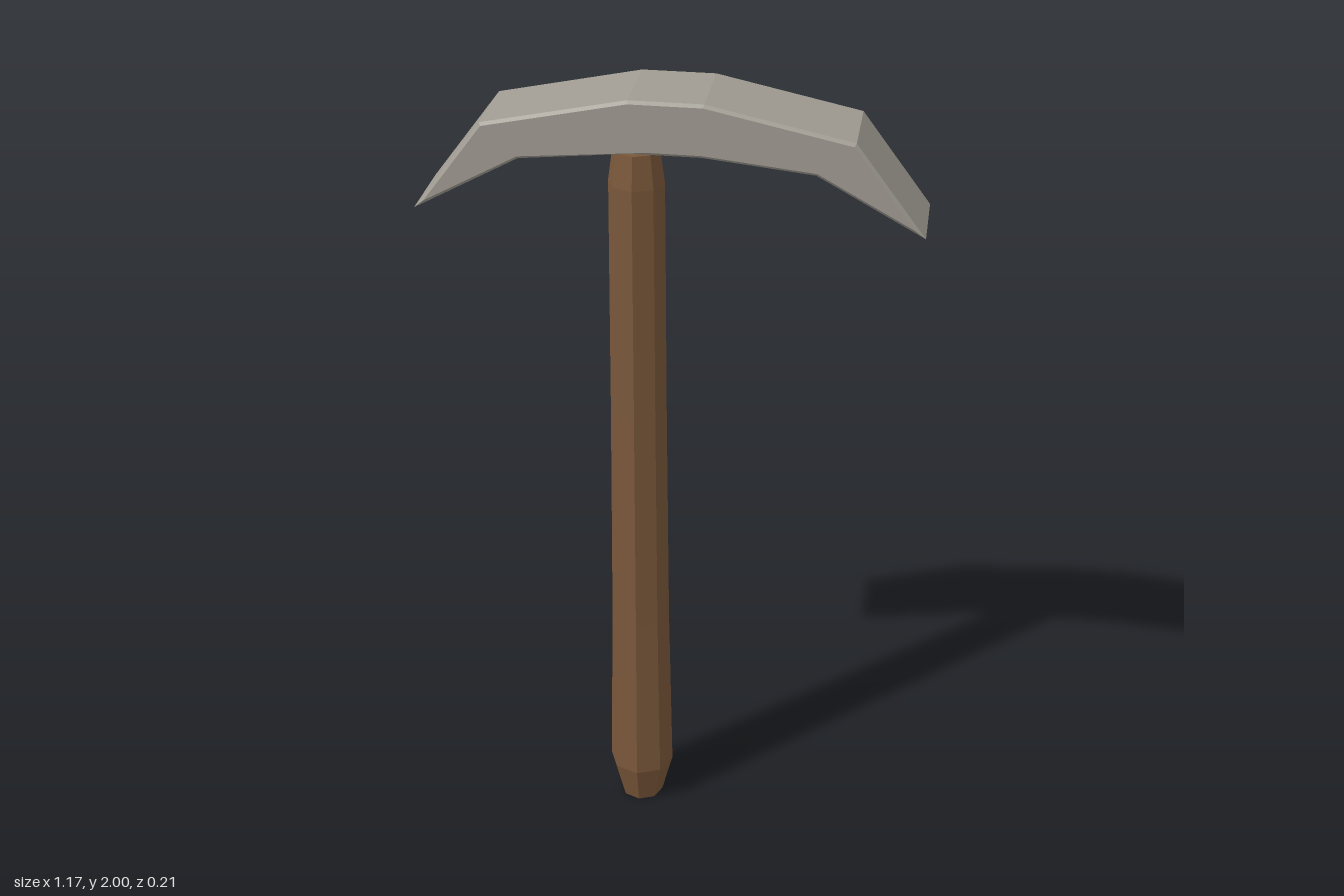
import * as THREE from 'three';

const wood = new THREE.MeshStandardMaterial({ name: 'wood', color: 0x7a583a });
const stone = new THREE.MeshStandardMaterial({ name: 'stone', color: 0xa09c92 });

// Moves every corner of a counter-clockwise outline inward by d, with mitred corners.
function insetOutline(points, d) {
  return points.map((p, i) => {
    const prev = points[(i + points.length - 1) % points.length];
    const next = points[(i + 1) % points.length];
    const a = p.clone().sub(prev).normalize();
    const b = next.clone().sub(p).normalize();
    const n = new THREE.Vector2(-a.y - b.y, a.x + b.x).normalize();
    return p.clone().addScaledVector(n, d / (n.x * -a.y + n.y * a.x));
  });
}

// Eight-sided shaft, swelling towards the grip, with tapered ends.
function makeHandle() {
  const profile = [
    [0, 0], [0.055, 0], [0.083, 0.11], [0.074, 0.58],
    [0.069, 1.17], [0.066, 1.77], [0.055, 1.85], [0, 1.85],
  ].map(([r, y]) => new THREE.Vector2(r, y));
  const geometry = new THREE.LatheGeometry(profile, 8).toNonIndexed();
  geometry.computeVertexNormals();
  const handle = new THREE.Mesh(geometry, wood);
  handle.name = 'handle';
  handle.position.x = -0.083;
  return handle;
}

// Curved pick head with a thin chamfer around its front and back faces.
function makeHead() {
  const upper = [[0.583, 1.715], [0.42, 1.93], [0.085, 2]];
  const lower = [[0.08, 1.876], [0.335, 1.85]];
  const mirror = (list) => list.map(([x, y]) => [-x, y]).reverse();
  const outline = [...upper, ...mirror(upper), ...mirror(lower), ...lower]
    .map(([x, y]) => new THREE.Vector2(x, y));
  const inset = insetOutline(outline, 0.007);

  // Four layers: the two outer ones are inset.
  let geometry = new THREE.ExtrudeGeometry(new THREE.Shape(outline), {
    depth: 3, steps: 3, bevelEnabled: false,
  });
  const layers = [-0.107, -0.1, 0.1, 0.107];
  const pos = geometry.attributes.position;
  for (let i = 0; i < pos.count; i++) {
    const layer = Math.round(pos.getZ(i));
    const corner = outline.findIndex((p) =>
      Math.hypot(p.x - pos.getX(i), p.y - pos.getY(i)) < 1e-4);
    const p = (layer === 0 || layer === 3 ? inset : outline)[corner];
    pos.setXYZ(i, p.x, p.y, layers[layer]);
  }
  geometry.clearGroups();
  if (geometry.index) geometry = geometry.toNonIndexed();
  geometry.computeVertexNormals();
  const head = new THREE.Mesh(geometry, stone);
  head.name = 'pickHead';
  return head;
}

export function createModel() {
  const model = new THREE.Group();
  model.name = 'pickaxe';
  model.add(makeHandle(), makeHead());
  return model;
}
